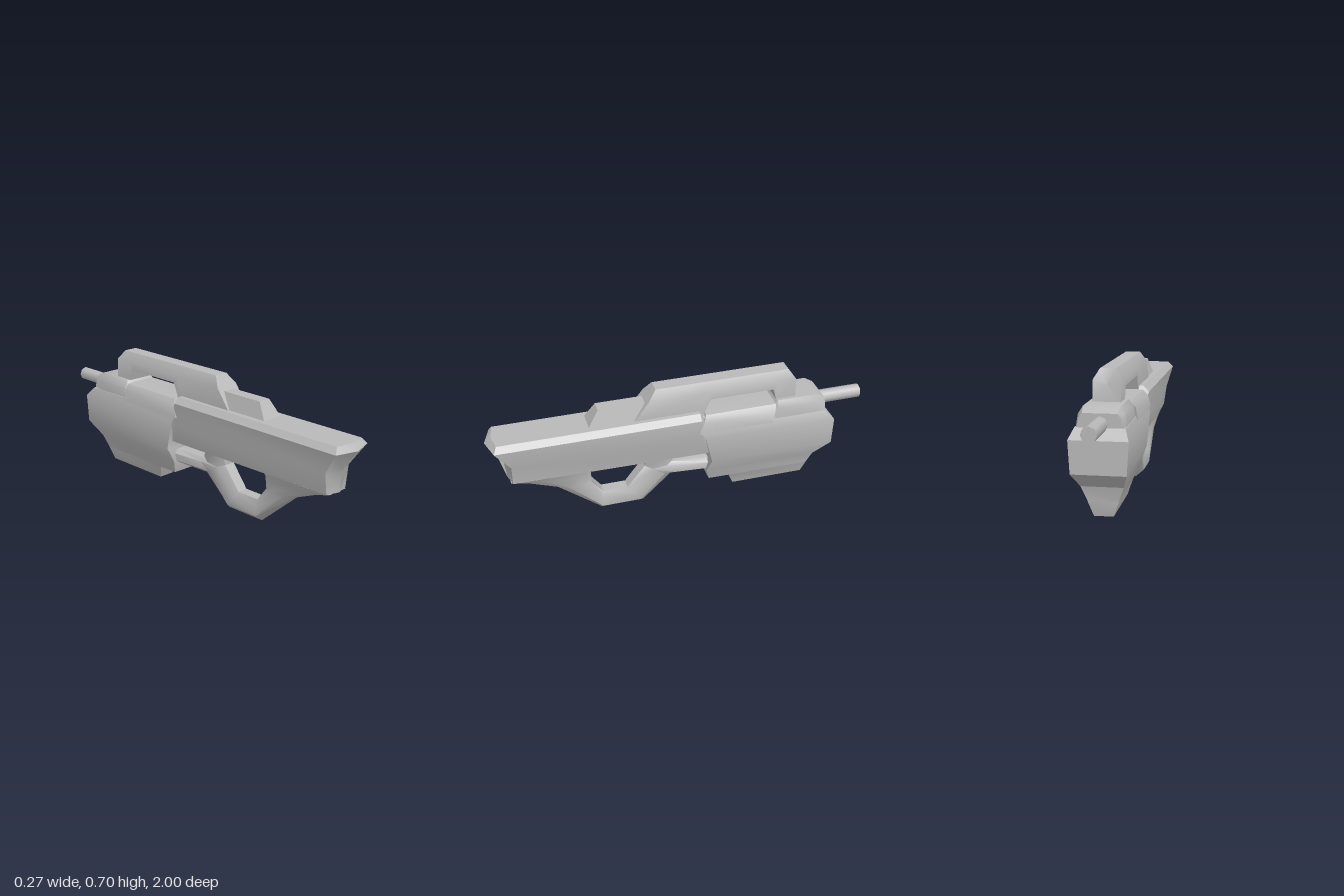
import * as THREE from 'three';
import { toCreasedNormals } from 'three/addons/utils/BufferGeometryUtils.js';

const grey = new THREE.MeshStandardMaterial({ color: 0xb9b9b9 });
grey.name = 'grey';

// Skins rings of half outlines [x, y, z], each mirrored in x, and caps both ends
function loft(name, halves, crease = 0.6) {
  const rings = halves.map(h => [...h, ...[...h].reverse().map(([x, y, z]) => [-x, y, z])]);
  const n = rings[0].length;
  const tris = [];
  for (let i = 0; i < rings.length - 1; i++) {
    for (let j = 0; j < n; j++) {
      const k = (j + 1) % n;
      const [a, b, c, d] = [rings[i][j], rings[i][k], rings[i + 1][k], rings[i + 1][j]];
      tris.push([a, b, c], [a, c, d]);
    }
  }
  const cap = (ring, flip) => {
    const mid = [0, 1, 2].map(c => ring.reduce((s, p) => s + p[c], 0) / n);
    ring.forEach((p, j) => {
      const q = ring[(j + 1) % n];
      tris.push(flip ? [mid, q, p] : [mid, p, q]);
    });
  };
  cap(rings[0], true);
  cap(rings[rings.length - 1], false);

  // Face outwards: a negative enclosed volume means the order is reversed
  const v = tris.map(t => t.map(p => new THREE.Vector3(...p)));
  const volume = v.reduce((s, [a, b, c]) => s + a.dot(b.clone().cross(c)), 0);
  const points = v.flatMap(([a, b, c]) => (volume < 0 ? [a, c, b] : [a, b, c]));
  const geometry = new THREE.BufferGeometry().setFromPoints(points);
  const mesh = new THREE.Mesh(toCreasedNormals(geometry, crease), grey);
  mesh.name = name;
  return mesh;
}

// Ring of the loop guard, between an inner and an outer point given as [z, y]
function guardRing(inner, outer, w, keel) {
  const at = (x, t) => [x, inner[1] + (outer[1] - inner[1]) * t, inner[0] + (outer[0] - inner[0]) * t];
  return [at(w * 0.65, 0), at(w, 0.25), at(w, 0.72), at(keel, 1)];
}

// Ring of the main body at one z
const bodyRing = (z, top, wTop, yShoulder, wShoulder) =>
  [[wTop, top, z], [wShoulder, yShoulder, z], [0.118, 0.41, z], [0.09, 0.3, z]];

export function createModel() {
  const model = new THREE.Group();
  model.name = 'model';

  // Long body, beginning with the ridge of the concave butt plate
  model.add(loft('body', [
    [[0, 0.555, 0.965], [0, 0.525, 1], [0, 0.41, 0.92], [0, 0.3, 0.91]],
    [[0.09, 0.555, 0.95], [0.115, 0.525, 0.965], [0.086, 0.41, 0.89], [0.07, 0.3, 0.89]],
    bodyRing(-0.08, 0.555, 0.09, 0.525, 0.118),
    bodyRing(-0.1, 0.53, 0.08, 0.5, 0.112),
    bodyRing(-0.48, 0.53, 0.08, 0.5, 0.105),
    bodyRing(-0.5, 0.555, 0.085, 0.52, 0.108),
    bodyRing(-0.72, 0.555, 0.085, 0.52, 0.108),
    bodyRing(-0.765, 0.53, 0.08, 0.51, 0.095),
  ]));

  // Rounded cover under the carrying handle
  model.add(loft('forearmCover', [
    [[0.05, 0.542, -0.115], [0.09, 0.54, -0.11], [0.115, 0.51, -0.095], [0.124, 0.45, -0.065]],
    [[0.05, 0.542, -0.495], [0.09, 0.54, -0.49], [0.115, 0.51, -0.48], [0.124, 0.45, -0.465]],
  ], 0.8));

  // Deep rear housing, stacked from top to bottom: [y, front z, front x, back z, back x]
  model.add(loft('housing', [
    [0.465, -0.07, 0.119, -0.765, 0.115],
    [0.415, -0.1, 0.126, -0.81, 0.137],
    [0.26, -0.14, 0.118, -0.81, 0.128],
    [0.185, -0.12, 0.09, -0.72, 0.1],
    [0.112, -0.14, 0.065, -0.7, 0.072],
    [0.11, -0.255, 0.065, -0.7, 0.072],
    [0.037, -0.285, 0.043, -0.682, 0.046],
  ].map(([y, z1, x1, z2, x2]) => [[x1, y, z1], [x2, y, z2]])));

  // Carrying handle, with both posts in one run
  const handleRing = (bottom, z) => [[0.067, bottom, z], [0.065, 0.655, z], [0.037, 0.705, z]];
  model.add(loft('carryingHandle', [
    [[0.067, 0.55, 0.26], [0.065, 0.655, 0.18], [0.037, 0.705, 0.14]],
    handleRing(0.53, -0.105),
    handleRing(0.615, -0.14),
    handleRing(0.615, -0.48),
    handleRing(0.54, -0.503),
    [[0.067, 0.54, -0.605], [0.065, 0.655, -0.605], [0.037, 0.705, -0.57]],
  ]));

  // Low sight block in front of the handle
  model.add(loft('sightBlock', [
    [[0.06, 0.55, 0.492], [0.034, 0.635, 0.435]],
    [[0.06, 0.55, 0.19], [0.034, 0.635, 0.19]],
  ]));

  // Loop guard from the butt, under the hand and on to the housing
  model.add(loft('loopGuard', [
    guardRing([0.47, 0.31], [0.9, 0.3], 0.075, 0.06),
    guardRing([0.49, 0.27], [0.8, 0.265], 0.062, 0.045),
    guardRing([0.49, 0.2], [0.665, 0.205], 0.048, 0.032),
    guardRing([0.43, 0.122], [0.44, 0.003], 0.045, 0.004),
    guardRing([0.3, 0.122], [0.21, 0.003], 0.045, 0.004),
    guardRing([0.205, 0.24], [0.06, 0.16], 0.048, 0.02),
    guardRing([0.05, 0.245], [0.04, 0.162], 0.055, 0.025),
    guardRing([-0.16, 0.245], [-0.16, 0.165], 0.075, 0.04),
  ], 0.8));

  // Short grip joining the guard to the body
  model.add(loft('grip', [
    guardRing([0.2, 0.22], [0.045, 0.22], 0.046, 0.03),
    guardRing([0.203, 0.25], [0.05, 0.247], 0.048, 0.03),
    guardRing([0.195, 0.31], [0.08, 0.31], 0.065, 0.045),
  ], 0.8));

  // Barrel
  const tube = new THREE.CylinderGeometry(0.037, 0.037, 0.3, 8);
  tube.rotateX(Math.PI / 2);
  const barrel = new THREE.Mesh(tube, grey);
  barrel.name = 'barrel';
  barrel.position.set(0, 0.48, -0.85);
  model.add(barrel);

  return model;
}
